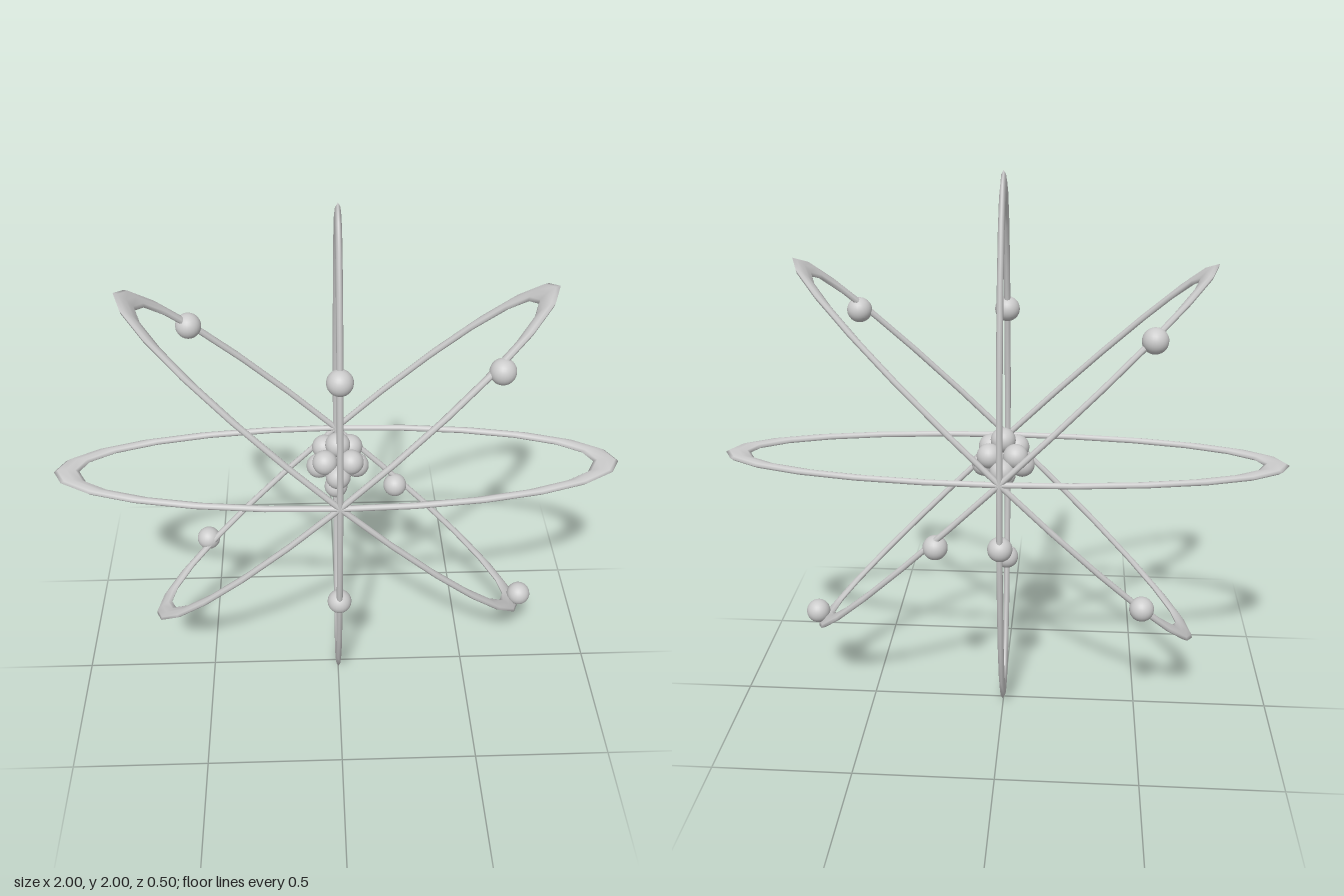
import * as THREE from 'three';

const material = new THREE.MeshStandardMaterial({ color: 0xcccccc });

export function createModel() {
  const model = new THREE.Group();
  model.name = 'atom';

  // Orbits: one torus stretched into a long ellipse, fanned about the z axis
  const orbitGeometry = new THREE.TorusGeometry(0.234, 0.011, 8, 24);
  orbitGeometry.rotateX(Math.PI / 2);
  orbitGeometry.scale(1 / 0.245, 1, 1);
  for (let i = 0; i < 4; i++) {
    const orbit = new THREE.Mesh(orbitGeometry, material);
    orbit.name = 'orbit' + (i + 1);
    orbit.position.y = 1;
    orbit.rotation.z = (i * Math.PI) / 4;
    model.add(orbit);
  }

  const ballGeometry = new THREE.SphereGeometry(0.044, 24, 16);
  const addBall = (parent, name, x, y, z) => {
    const ball = new THREE.Mesh(ballGeometry, material);
    ball.name = name;
    ball.position.set(x, y, z);
    parent.add(ball);
  };

  // Electrons riding on the orbits
  const electrons = new THREE.Group();
  electrons.name = 'electrons';
  [
    [-0.5, 1.49, -0.16], [0, 1.49, 0.205], [0.52, 1.49, 0.157],
    [0, 0.745, -0.207], [0.225, 0.745, -0.207],
    [-0.5, 0.515, -0.185], [0, 0.515, 0.183], [0.705, 0.355, 0],
  ].forEach((p, i) => addBall(electrons, 'electron' + (i + 1), ...p));
  model.add(electrons);

  // Nucleus: single balls at top and bottom, two rings of four between
  const nucleus = new THREE.Group();
  nucleus.name = 'nucleus';
  nucleus.position.set(0, 1, -0.022);
  addBall(nucleus, 'topNucleon', 0, 0.08, 0);
  addBall(nucleus, 'bottomNucleon', 0, -0.053, 0);
  for (let i = 0; i < 4; i++) {
    const a = (i * Math.PI) / 2;
    const b = a + Math.PI / 4;
    addBall(nucleus, 'upperNucleon' + (i + 1), 0.065 * Math.cos(b), 0.037, 0.065 * Math.sin(b));
    addBall(nucleus, 'lowerNucleon' + (i + 1), 0.067 * Math.cos(a), -0.011, 0.067 * Math.sin(a));
  }
  model.add(nucleus);

  return model;
}
